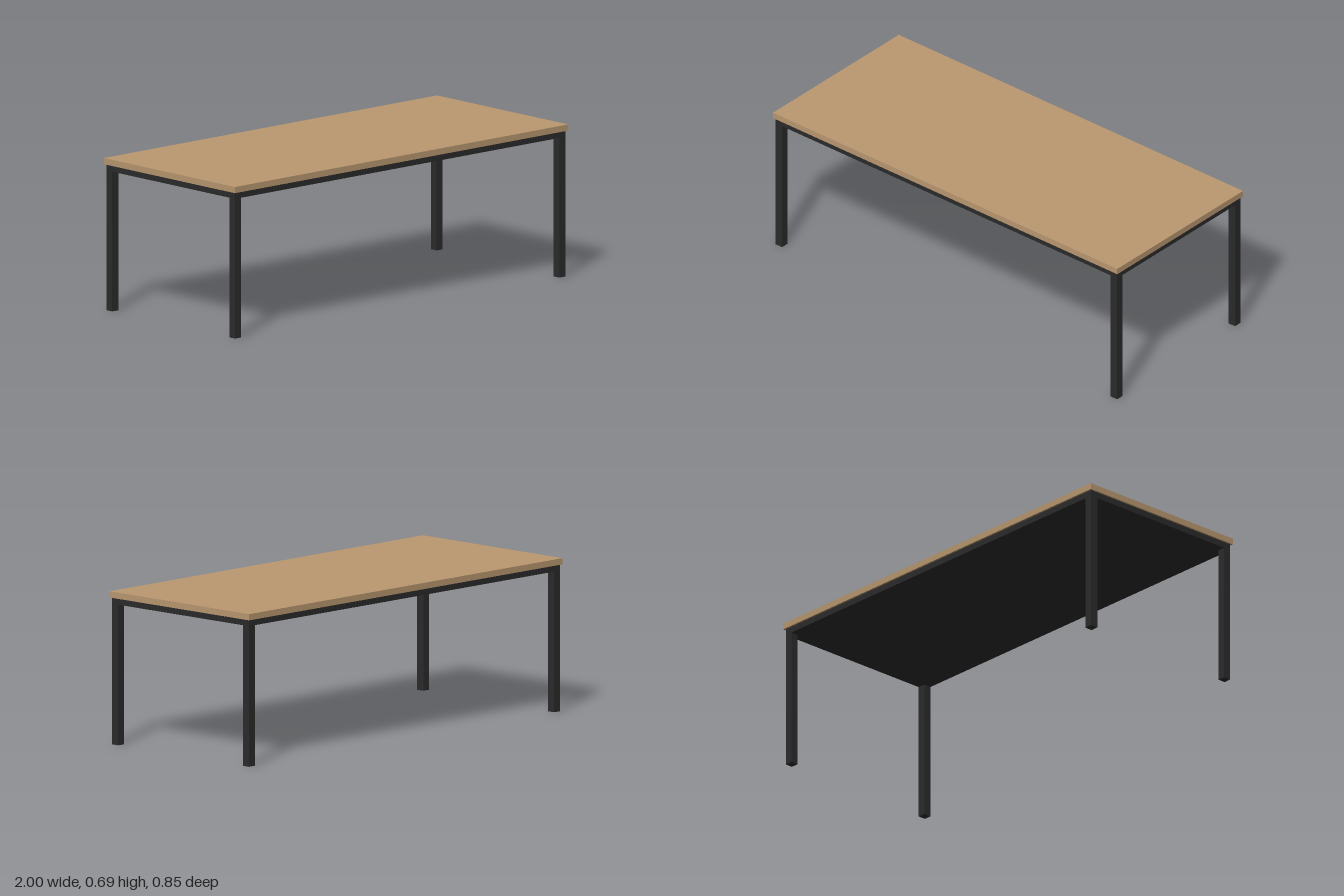
import * as THREE from 'three';

export function createModel() {
  const wood = new THREE.MeshStandardMaterial({ color: 0xba9870 });
  wood.name = 'lightWood';
  const metal = new THREE.MeshStandardMaterial({ color: 0x2b2b2b });
  metal.name = 'blackMetal';

  const table = new THREE.Group();
  table.name = 'table';

  const box = (name, material, size, position) => {
    const mesh = new THREE.Mesh(new THREE.BoxGeometry(...size), material);
    mesh.name = name;
    mesh.position.set(...position);
    table.add(mesh);
  };

  const topY = 0.686, topThick = 0.028;
  const frameY = topY - topThick; // underside of the tabletop
  const railH = 0.028;
  const leg = 0.037;
  const legX = 0.9735, legZ = 0.4;
  const railY = frameY - railH / 2;

  // Tabletop
  box('tabletop', wood, [2, topThick, 0.854], [0, topY - topThick / 2, 0]);

  // Square legs, one in each corner
  for (const x of [-1, 1]) {
    for (const z of [-1, 1]) {
      const name = (z > 0 ? 'front' : 'back') + (x > 0 ? 'Left' : 'Right') + 'Leg';
      box(name, metal, [leg, frameY, leg], [x * legX, frameY / 2, z * legZ]);
    }
  }

  // Rails running between the legs
  for (const s of [-1, 1]) {
    box(s > 0 ? 'frontRail' : 'backRail', metal,
      [2 * legX - leg, railH, leg], [0, railY, s * legZ]);
    box(s > 0 ? 'leftRail' : 'rightRail', metal,
      [leg, railH, 2 * legZ - leg], [s * legX, railY, 0]);
  }

  // Panel closing the frame underneath
  box('underPanel', metal, [2 * legX - leg, railH, 2 * legZ - leg], [0, railY, 0]);

  return table;
}
